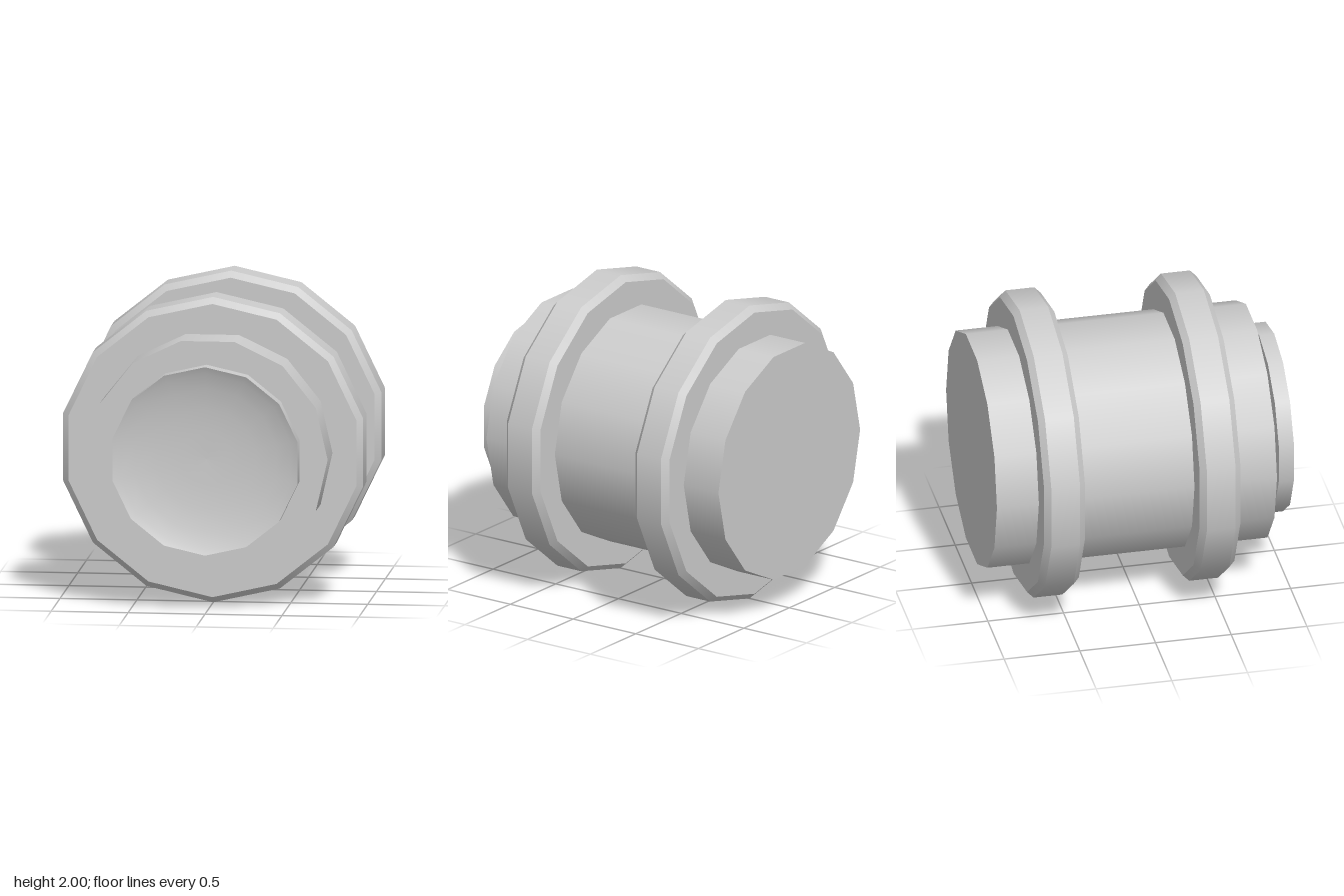
import * as THREE from 'three';
import { mergeGeometries } from 'three/addons/utils/BufferGeometryUtils.js';

const SIDES = 14;

// Each section is a smooth run of [radius, z] points; sections meet at sharp edges.
function turned(sections, phiStart = 0) {
  const parts = sections.map((pts) =>
    new THREE.LatheGeometry(pts.map(([r, z]) => new THREE.Vector2(r, z)), SIDES, phiStart, Math.PI * 2));
  return mergeGeometries(parts).rotateX(Math.PI / 2);
}

// Splits a profile into straight sections with hard edges.
const hard = (pts) => pts.slice(1).map((p, i) => [pts[i], p]);

export function createModel() {
  const group = new THREE.Group();
  const grey = new THREE.MeshStandardMaterial({ color: 0xcccccc });
  grey.name = 'grey';

  const add = (name, geometry, z = 0) => {
    const mesh = new THREE.Mesh(geometry, grey);
    mesh.name = name;
    mesh.position.set(0, 1, z);
    group.add(mesh);
  };

  // Main barrel, with a corner pointing to each side
  add('barrel', turned(hard([[0, -1], [0.78, -1], [0.78, 0.85], [0, 0.85]]), Math.PI / 2));

  // Two chamfered collars, with a corner pointing up
  const collar = turned(hard([
    [0.72, -0.135], [0.96, -0.135], [1, -0.095], [1, 0.095], [0.96, 0.135], [0.72, 0.135],
  ]));
  add('frontCollar', collar, 0.44);
  add('rearCollar', collar, -0.588);

  // Shallow dish floating just ahead of the barrel
  const bowl = [[0.617, 1], [0.57, 0.978], [0.47, 0.947], [0.33, 0.922], [0.17, 0.909], [0, 0.905]];
  add('frontDish', turned([...hard([[0, 0.9], [0.617, 0.9], [0.617, 1]]), bowl]));

  return group;
}
